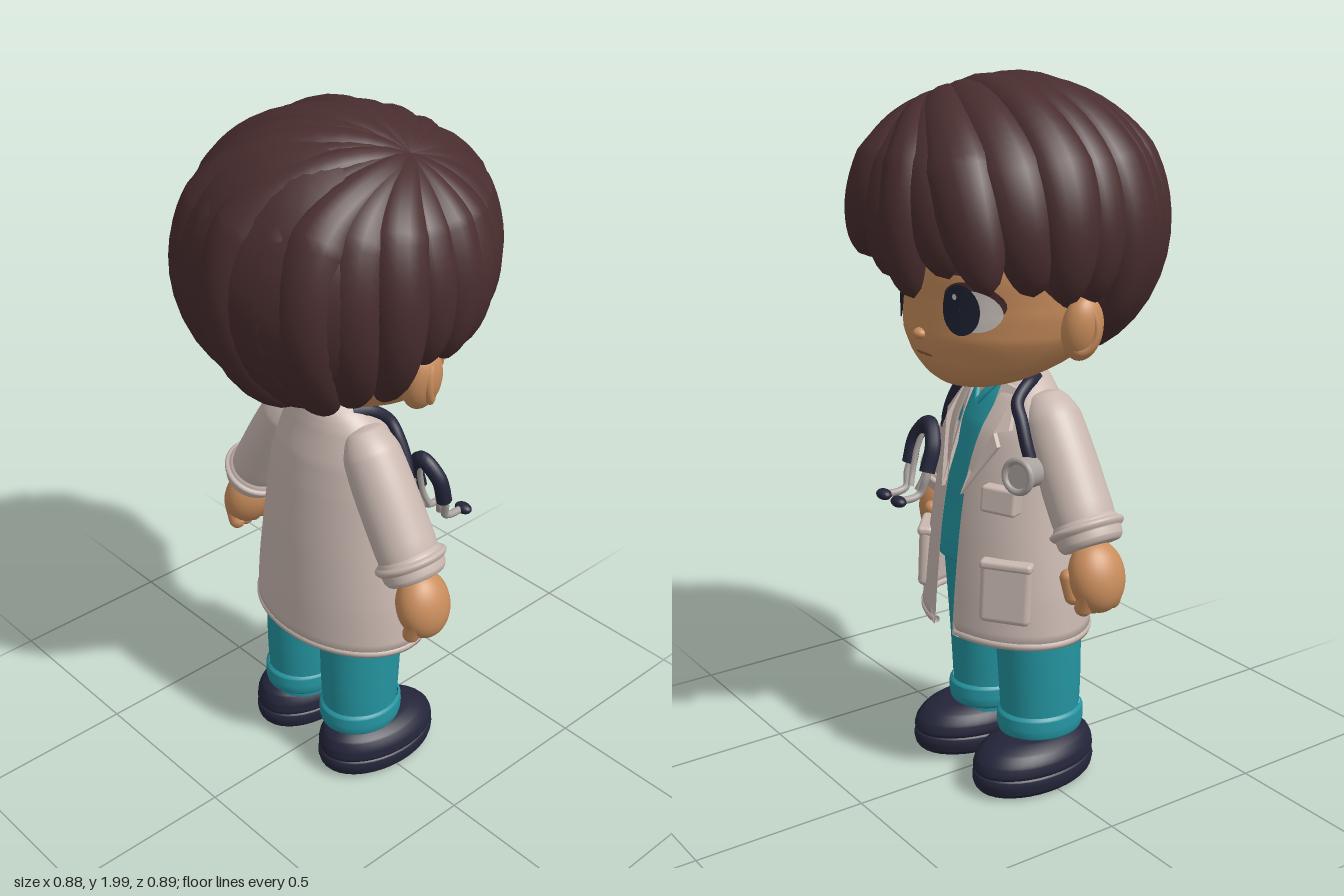
import * as THREE from 'three';
import { ParametricGeometry } from 'three/addons/geometries/ParametricGeometry.js';
import { RoundedBoxGeometry } from 'three/addons/geometries/RoundedBoxGeometry.js';

const V = (x, y, z) => new THREE.Vector3(x, y, z);
const mat = (name, color, side = THREE.FrontSide) => {
  const m = new THREE.MeshStandardMaterial({ color, side });
  m.name = name;
  return m;
};

// Smooth sampler through rows of [y, centreX, centreZ, radiusX, radiusZ]
function sampler(rows) {
  const c = new THREE.CatmullRomCurve3(rows.map(r => V(r[1], r[0], r[2])));
  const s = new THREE.CatmullRomCurve3(rows.map(r => V(r[3], r[4], 0)));
  return t => ({ c: c.getPoint(t), s: s.getPoint(t) });
}
// Closed body of elliptical sections, listed from bottom to top
function loft(rows, nu = 36, nv = 32) {
  const at = sampler(rows);
  return new ParametricGeometry((u, v, p) => {
    const { c, s } = at(v), a = u * Math.PI * 2;
    p.set(c.x + s.x * Math.sin(a), c.y, c.z + s.y * Math.cos(a));
  }, nu, nv);
}
const ball = (rx, ry, rz) => new THREE.SphereGeometry(1, 28, 20).scale(rx, ry, rz);
const tube = (pts, r, n = 40) => new THREE.TubeGeometry(new THREE.CatmullRomCurve3(pts), n, r, 10);

// Front height of a solid at (x, y)
const ray = new THREE.Raycaster();
function frontZ(solid, x, y) {
  ray.set(V(x, y, 2), V(0, 0, -1));
  const hit = ray.intersectObject(solid)[0];
  return hit ? hit.point.z : 0;
}
// Lay a flat geometry on the front of a solid
function drape(geo, solid, lift) {
  const p = geo.attributes.position;
  for (let i = 0; i < p.count; i++) p.setZ(i, p.getZ(i) + lift + frontZ(solid, p.getX(i), p.getY(i)));
  geo.computeVertexNormals();
  return geo;
}
const oval = (x, y, rx, ry, tilt = 0) =>
  new THREE.RingGeometry(0.01, 1, 28, 4).scale(rx, ry, 1).rotateZ(tilt).translate(x, y, 0);

export function createModel() {
  const skin = mat('skin', 0xc98d5c), hair = mat('hair brown', 0x492d2e);
  const coat = mat('coat cloth', 0xc9b8b0, THREE.DoubleSide), scrubs = mat('teal cloth', 0x2495a1);
  const navy = mat('navy', 0x24253a), eye = mat('eye dark', 0x1e2233);
  const white = mat('eye white', 0xcfc6c2), lip = mat('lip brown', 0x925c3c), metal = mat('metal', 0xaaa29f);
  const body = new THREE.Group();
  body.name = 'doctorFigure';
  const add = (name, geo, m, pos = [0, 0, 0], rot = [0, 0, 0]) => {
    const mesh = new THREE.Mesh(geo, m);
    mesh.name = name;
    mesh.position.set(...pos);
    mesh.rotation.set(...rot);
    body.add(mesh);
    return mesh;
  };

  // Head and neck
  const head = add('head', loft([
    [1.168, 0, 0.13, 0.001, 0.001], [1.175, 0, 0.12, 0.09, 0.07], [1.2, 0, 0.09, 0.165, 0.135],
    [1.25, 0, 0.045, 0.235, 0.215], [1.32, 0, 0.015, 0.285, 0.265], [1.4, 0, 0, 0.305, 0.277],
    [1.5, 0, 0, 0.31, 0.278], [1.62, 0, -0.02, 0.28, 0.25], [1.72, 0, -0.02, 0.18, 0.16], [1.76, 0, -0.02, 0.01, 0.01],
  ]), skin);
  add('neck', new THREE.CylinderGeometry(0.07, 0.075, 0.2, 24), skin, [0, 1.16, -0.03]);
  add('nose', ball(0.022, 0.016, 0.022), skin, [0, 1.325, 0.277]);
  add('mouth', drape(oval(0, 1.27, 0.04, 0.005), head, 0.004), lip);

  for (const s of [-1, 1]) {
    // Eyes, lashes and brows
    add('lash', drape(oval(s * 0.17, 1.43, 0.074, 0.052, -s * 0.15), head, 0.002), hair);
    add('eyeWhite', drape(oval(s * 0.172, 1.406, 0.066, 0.055), head, 0.004), white);
    add('iris', drape(oval(s * 0.146, 1.408, 0.049, 0.067), head, 0.007), eye);
    add('eyeGlint', drape(oval(s * 0.146 - 0.012, 1.442, 0.006, 0.008), head, 0.009), white);
    add('brow', drape(oval(s * 0.175, 1.517, 0.056, 0.014, s * 0.24), head, 0.006), hair);
    // Ears
    add('ear', ball(0.046, 0.088, 0.06), skin, [s * 0.322, 1.36, -0.012], [0, 0, -s * 0.15]);
    add('earRim', new THREE.TorusGeometry(0.044, 0.012, 10, 28).scale(0.85, 1.3, 1), skin,
      [s * 0.341, 1.362, 0.004], [0, s * 0.95, 0]);
  }

  // Hair: a cap under locks that sweep from an off-centre crown
  add('hairCap', ball(0.385, 0.37, 0.34), hair, [0, 1.6, -0.09]);
  const dir = (az, el) => {
    const a = az * Math.PI / 180, e = el * Math.PI / 180;
    return V(Math.sin(a) * Math.cos(e), Math.sin(e), Math.cos(a) * Math.cos(e));
  };
  const crown = dir(-78, 58), centre = V(0, 1.578, 0), size = V(0.44, 0.44, 0.437);
  function lock(midAz, endAz, el, w, lift, flick = 0) {
    const path = new THREE.CatmullRomCurve3([crown, dir(midAz, 30), dir(endAz, el)]);
    const thick = 0.075;
    return new ParametricGeometry((u, v, p) => {
      const n = path.getPoint(v).normalize(), t = path.getTangent(v);
      const side = V(0, 0, 0).crossVectors(t, n).normalize(), a = u * Math.PI * 2;
      const k = Math.min(1, 0.45 + 1.1 * v) * Math.pow(1.0005 - Math.pow(v, 5), 0.6);
      const bulge = lift * Math.min(1, 2 * v) + flick * v ** 5 - thick;
      p.copy(n).multiply(size).add(centre).addScaledVector(n, bulge)
        .addScaledVector(side, Math.sin(a) * w * k).addScaledVector(n, Math.cos(a) * thick * k);
    }, 18, 28);
  }
  // Each lock: middle azimuth, end azimuth, end elevation, half width, lift, flick
  const locks = [
    [-72, -77, -23, 0.09, 0.012], [-54, -60, -20, 0.1, -0.002], [-36, -43, -14, 0.11, 0.006], [-17, -23, -9, 0.115, 0.02],
    [-1, 0, -15, 0.095, 0.006], [9, 13, -21, 0.08, 0.018], [20, 31, -12, 0.095, 0.002], [34, 49, -14, 0.1, 0.014, 0.045],
    [56, 66, -19, 0.1, 0.002], [78, 80, -23, 0.095, 0.012], [96, 95, -26, 0.085, -0.006], [113, 112, -46, 0.095, 0.01],
    [131, 130, -56, 0.09, -0.002], [149, 148, -61, 0.095, 0.016], [167, 166, -64, 0.085, 0.002], [184, 184, -66, 0.09, 0.016],
    [202, 201, -64, 0.09, 0], [219, 218, -61, 0.09, 0.014], [236, 235, -56, 0.09, 0], [252, 251, -46, 0.085, 0.014],
    [266, 266, -28, 0.08, 0], [279, 276, -27, 0.08, 0.01],
  ];
  for (const l of locks) add('hairLock', lock(...l), hair);

  // Coat: open at the front, with a thin inner wall
  const coatRows = [
    [0.46, 0, 0.007, 0.293, 0.214], [0.6, 0, 0.004, 0.279, 0.206], [0.8, 0, 0, 0.248, 0.188], [0.95, 0, -0.005, 0.226, 0.166],
    [1.05, 0, -0.01, 0.205, 0.145], [1.13, 0, -0.02, 0.165, 0.112], [1.18, 0, -0.03, 0.11, 0.085], [1.2, 0, -0.03, 0.08, 0.068],
  ];
  const form = new THREE.Mesh(loft(coatRows));
  const coatAt = sampler(coatRows);
  add('coat', new ParametricGeometry((u, v, p) => {
    const { c, s } = coatAt(Math.abs(2 * v - 1));
    const half = 0.044 + 0.026 * THREE.MathUtils.smoothstep(c.y, 0.9, 1.15);
    const gap = Math.asin(Math.min(0.9, half / s.x)), a = gap + u * 2 * (Math.PI - gap);
    const wall = v < 0.5 ? 0.02 * Math.min(1, 30 * u, 30 * (1 - u)) : 0;
    p.set(c.x + (s.x - wall) * Math.sin(a), c.y, c.z + (s.y - wall) * Math.cos(a));
  }, 60, 48), coat);
  // Rolled hem
  const hem = [];
  for (let i = 0; i <= 32; i++) {
    const a = 0.18 + i / 32 * (2 * Math.PI - 0.36);
    hem.push(V(0.285 * Math.sin(a), 0.47, 0.007 + 0.206 * Math.cos(a)));
  }
  add('coatHem', tube(hem, 0.011, 80), coat);

  // Shirt and trousers
  add('shirt', loft([[0.645, 0, 0, 0.2, 0.14],
    ...coatRows.slice(1).map(([y, x, z, rx, rz]) => [Math.max(y, 0.66), x, z, rx * 0.86, rz * 0.88])]), scrubs);
  add('waist', loft([[0.43, 0, -0.02, 0.001, 0.001], [0.44, 0, -0.02, 0.1, 0.07], [0.5, 0, -0.02, 0.18, 0.115],
    [0.58, 0, -0.01, 0.215, 0.135], [0.7, 0, -0.005, 0.205, 0.15]]), scrubs);
  add('neckSkin', drape(new THREE.ShapeGeometry(new THREE.Shape([
    new THREE.Vector2(-0.032, 1.18), new THREE.Vector2(0, 1.135), new THREE.Vector2(0.032, 1.18)])), form, 0.002), skin);

  for (const s of [-1, 1]) {
    add('shirtCollar', tube([[0.045, 1.185], [0.024, 1.145], [0, 1.11]].map(
      ([x, y]) => V(s * x, y, frontZ(form, s * x, y) - 0.002)), 0.009, 10), scrubs);

    // Trouser leg with a turned-up cuff
    add('trouserLeg', loft([[0.13, s * 0.124, -0.03, 0.1, 0.115], [0.3, s * 0.122, -0.03, 0.109, 0.123],
      [0.5, s * 0.119, -0.022, 0.113, 0.13], [0.64, s * 0.112, -0.01, 0.109, 0.135]]), scrubs);
    add('trouserCuff', loft([[0.14, s * 0.125, -0.03, 0.1, 0.115], [0.15, s * 0.125, -0.03, 0.109, 0.126],
      [0.175, s * 0.125, -0.03, 0.113, 0.131], [0.203, s * 0.125, -0.03, 0.112, 0.13],
      [0.214, s * 0.125, -0.03, 0.105, 0.12]]), scrubs);

    // Shoe: sole and upper
    add('shoeSole', loft([[0, 0, 0, 0.0005, 0.0005], [0.002, 0, 0, 0.105, 0.172], [0.02, 0, 0, 0.124, 0.194],
      [0.045, 0, 0, 0.128, 0.2], [0.06, 0, 0, 0.126, 0.197], [0.068, 0, 0, 0.118, 0.188]]), navy,
    [s * 0.15, 0, 0.012], [0, s * 0.06, 0]);
    add('shoeUpper', loft([[0.055, 0, 0, 0.115, 0.184], [0.075, 0, 0, 0.127, 0.198], [0.1, 0, -0.003, 0.124, 0.193],
      [0.125, 0, -0.01, 0.11, 0.175], [0.145, 0, -0.02, 0.08, 0.135], [0.154, 0, -0.03, 0.04, 0.07],
      [0.156, 0, -0.03, 0.001, 0.001]]), navy, [s * 0.15, 0, 0.012], [0, s * 0.06, 0]);

    // Sleeve with cuff
    const arm = [s * 0.155, 1.09, -0.035], tilt = [0, 0, s * 0.54];
    add('sleeve', loft([[-0.35, 0, 0, 0.075, 0.084], [-0.28, 0, 0, 0.083, 0.09], [-0.15, 0, 0, 0.084, 0.089],
      [-0.02, 0, 0, 0.079, 0.084], [0.05, 0, 0, 0.045, 0.055], [0.07, 0, 0, 0.001, 0.001]]), coat, arm, tilt);
    add('sleeveCuff', loft([[-0.382, 0, 0, 0.03, 0.035], [-0.38, 0, 0, 0.072, 0.08], [-0.365, 0, 0, 0.085, 0.092],
      [-0.345, 0, 0, 0.087, 0.094], [-0.318, 0, 0, 0.087, 0.094], [-0.306, 0, 0, 0.08, 0.087]]), coat, arm, tilt);

    // Hand with curled fingers and thumb
    add('palm', ball(0.066, 0.1, 0.083), skin, [s * 0.374, 0.688, -0.032], [0, 0, s * 0.3]);
    for (let i = 0; i < 4; i++)
      add('finger', new THREE.CapsuleGeometry(0.025, 0.05, 6, 12), skin,
        [s * 0.388, 0.634, -0.08 + i * 0.032], [0, 0, -s * 0.35]);
    add('thumb', new THREE.CapsuleGeometry(0.023, 0.055, 6, 12), skin, [s * 0.345, 0.662, 0.034], [0.15, 0, s * 0.2]);

    // Lapel
    const lapel = new THREE.Shape([[0.065, 1.175], [0.11, 1.16], [0.15, 1.06], [0.115, 1.05], [0.135, 1.015], [0.046, 0.87]]
      .map(([x, y]) => new THREE.Vector2(s * x, y)));
    add('lapel', drape(new THREE.ExtrudeGeometry(lapel, { depth: 0.012, bevelEnabled: false }), form, 0.004), coat);

    // Side pocket with a top band
    const px = s * 0.2, pz = frontZ(form, px, 0.62);
    add('sidePocket', new RoundedBoxGeometry(0.145, 0.175, 0.036, 4, 0.017), coat, [px, 0.62, pz], [-0.05, s * 0.68, 0]);
    add('pocketBand', new RoundedBoxGeometry(0.148, 0.026, 0.044, 3, 0.011), coat, [px, 0.7, pz - 0.003], [-0.05, s * 0.68, 0]);
  }
  add('breastPocket', new RoundedBoxGeometry(0.105, 0.075, 0.055, 4, 0.01), coat,
    [0.167, 0.878, frontZ(form, 0.167, 0.878) + 0.012], [-0.1, 0.5, 0]);

  // Stethoscope: shoulder tubes, yoke, ear prongs and chest piece
  const onCoat = (x, y, lift = 0.016) => V(x, y, frontZ(form, x, y) + lift);
  for (const s of [-1, 1]) {
    const drop = [[0.205, 0.985], [0.19, 1.03], [0.165, 1.085], [0.135, 1.13]].map(([x, y]) => onCoat(s * x, y));
    add('stethoscopeTube', tube([...drop, V(s * 0.115, 1.17, 0.01), V(s * 0.09, 1.175, -0.04)], 0.018), navy);
    const ex = -0.199 + s * 0.05;
    add('earProng', tube([V(ex, 0.92, 0.145), V(ex, 0.86, 0.175), V(ex - s * 0.012, 0.815, 0.188),
      V(ex - s * 0.012, 0.805, 0.21), V(ex - s * 0.012, 0.805, 0.26)], 0.011, 24), metal);
    add('innerProng', tube([V(-0.199 + s * 0.022, 0.975, 0.14), V(-0.199 + s * 0.032, 0.92, 0.155),
      V(-0.199 + s * 0.03, 0.86, 0.17), V(-0.199 + s * 0.018, 0.82, 0.185)], 0.009, 16), metal);
    add('earTip', ball(0.028, 0.016, 0.02), navy, [-0.199 + s * 0.04, 0.805, 0.262]);
  }
  add('stethoscopeYoke', tube([V(-0.254, 0.88, 0.165), V(-0.25, 0.955, 0.145), V(-0.2, 1.005, 0.13),
    V(-0.15, 0.955, 0.15), V(-0.144, 0.88, 0.175)], 0.023), navy);
  const chest = onCoat(0.215, 0.958, 0.045);
  add('chestPiece', new THREE.CylinderGeometry(0.046, 0.04, 0.08, 28), metal, chest.toArray(), [1.45, 0, -0.3]);
  add('chestPieceRim', new THREE.TorusGeometry(0.043, 0.01, 10, 28), metal,
    [chest.x + 0.012, chest.y, chest.z + 0.038], [-0.1, 0.3, 0]);

  // The figure faces along +x
  body.rotation.y = Math.PI / 2;
  const model = new THREE.Group();
  model.name = 'doctor';
  model.add(body);
  return model;
}
